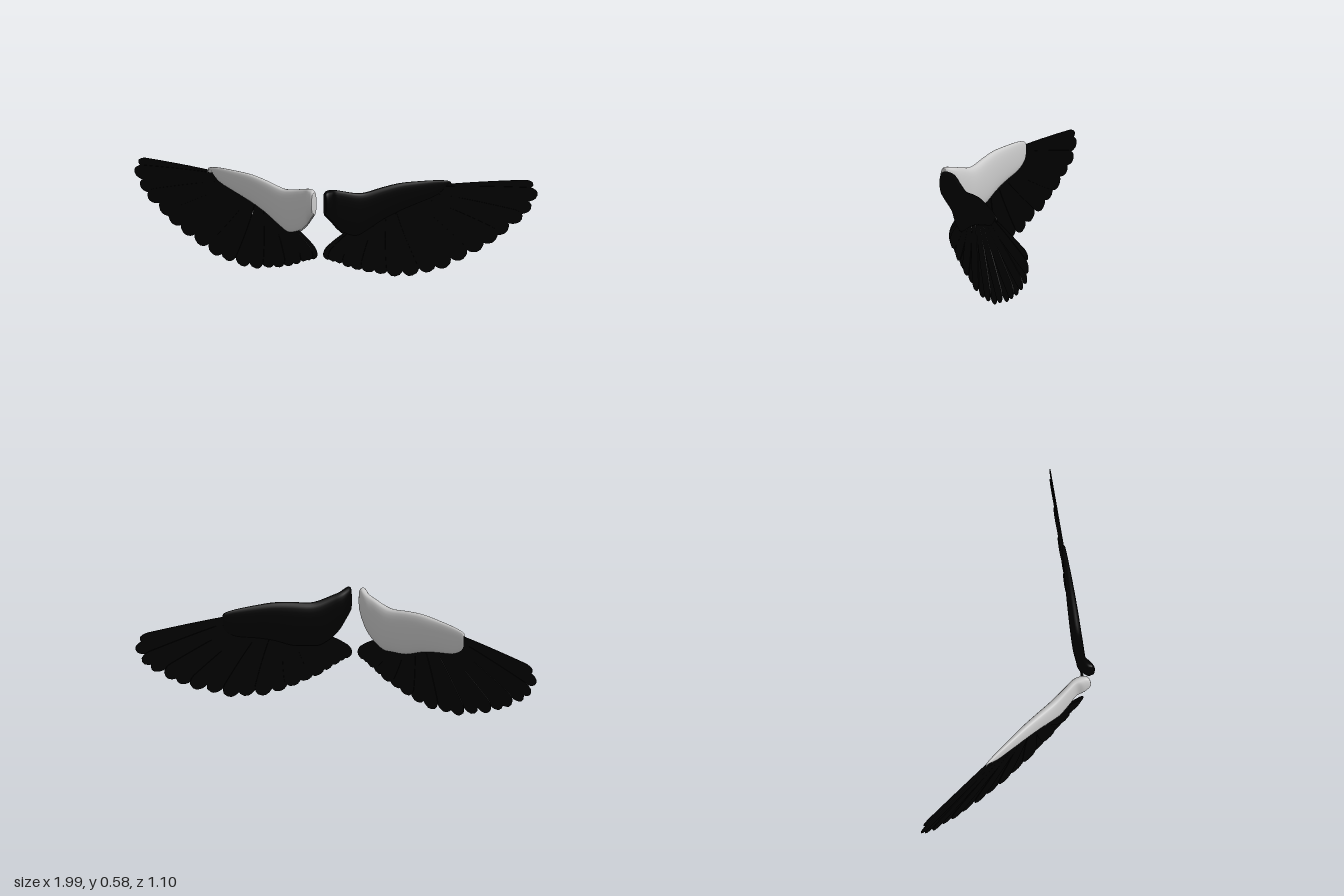
import * as THREE from 'three';

const grey = new THREE.MeshStandardMaterial({ color: 0xcccccc });
const black = new THREE.MeshStandardMaterial({ color: 0x000000 });

// Arm cross-sections: x, top, bottom, front feather line, mid z, back z, front z
const SECTIONS = [
  [-0.5, 0.52, 0.465, 0.5, 0, -0.006, 0.002],
  [-0.485, 0.537, 0.425, 0.525, 0, -0.011, 0.006],
  [-0.42, 0.55, 0.385, 0.468, 0, -0.017, 0.011],
  [-0.3, 0.558, 0.358, 0.43, 0, -0.024, 0.016],
  [-0.2, 0.56, 0.328, 0.4, 0, -0.03, 0.019],
  [-0.1, 0.548, 0.285, 0.36, 0, -0.034, 0.021],
  [0, 0.53, 0.27, 0.305, 0, -0.037, 0.022],
  [0.06, 0.535, 0.265, 0.283, 0, -0.037, 0.022],
  [0.13, 0.555, 0.3, 0.312, 0, -0.033, 0.02],
  [0.175, 0.568, 0.345, 0.357, 0, -0.032, 0.022],
  [0.205, 0.575, 0.385, 0.397, 0.008, -0.024, 0.046],
  [0.235, 0.579, 0.42, 0.432, 0.026, -0.006, 0.058],
  [0.25, 0.572, 0.437, 0.449, 0.032, 0.01, 0.056],
];

// Feather tips, from the outermost flight feather to the innermost
const TIPS = [
  [-0.978, 0.448], [-1, 0.385], [-0.965, 0.31], [-0.91, 0.255], [-0.83, 0.2],
  [-0.76, 0.155], [-0.675, 0.107], [-0.573, 0.066], [-0.474, 0.024], [-0.378, 0.012],
  [-0.275, 0], [-0.175, 0.01], [-0.09, 0.033], [-0.01, 0.055], [0.06, 0.08],
  [0.12, 0.108], [0.17, 0.138], [0.21, 0.158], [0.24, 0.172],
];
const ROOTS = new THREE.CatmullRomCurve3([
  [-0.41, 0.503], [-0.3, 0.452], [-0.2, 0.42], [-0.08, 0.365], [0.07, 0.31],
].map(([x, y]) => new THREE.Vector3(x, y, 0)));

// Flip a geometry across x = 0 and restore its winding
function mirror(g) {
  const p = g.attributes.position;
  if (!g.index) g.setIndex([...Array(p.count).keys()]);
  const idx = g.index.array;
  for (let i = 0; i < idx.length; i += 3) [idx[i], idx[i + 1]] = [idx[i + 1], idx[i]];
  for (let i = 0; i < p.count; i++) p.setX(i, -p.getX(i));
  g.computeVertexNormals();
  return g;
}

// Muscular arm lofted through the sections, with a smooth spline between them
function armGeometry() {
  const N = 14, LOW = 3, STEPS = 48;
  const pos = [], idx = [];
  const at = (t, k) => {
    const s = t * (SECTIONS.length - 1), i = Math.min(Math.floor(s), SECTIONS.length - 2), f = s - i;
    const v = (j) => SECTIONS[Math.max(0, Math.min(SECTIONS.length - 1, j))][k];
    const a = v(i - 1), b = v(i), c = v(i + 1), d = v(i + 2);
    return b + 0.5 * f * (c - a + f * (2 * a - 5 * b + 4 * c - d + f * (3 * (b - c) + d - a)));
  };
  const round = (a) => Math.pow(Math.max(0, Math.sin(a)), 0.65);
  const ring = 2 * N + LOW;
  for (let s = 0; s <= STEPS; s++) {
    const [x, top, low, line, mid, back, front] = [0, 1, 2, 3, 4, 5, 6].map((k) => at(s / STEPS, k));
    for (let i = 0; i < N; i++) {
      const a = (i / N) * Math.PI;
      pos.push(x, low + (top - low) * (1 - Math.cos(a)) / 2, mid + (back - mid) * round(a));
    }
    for (let i = 0; i < N; i++) {
      const a = (i / N) * Math.PI;
      pos.push(x, line + (top - line) * (1 + Math.cos(a)) / 2, mid + (front - mid) * round(a));
    }
    for (let i = 0; i < LOW; i++) pos.push(x, line + (low - line) * i / LOW, mid - 0.001);
  }
  for (let s = 0; s < STEPS; s++) {
    for (let i = 0; i < ring; i++) {
      const a = s * ring + i, b = s * ring + (i + 1) % ring;
      idx.push(a, b, b + ring, a, b + ring, a + ring);
    }
  }
  // End caps
  for (const [s, flip] of [[0, true], [STEPS, false]]) {
    const c = pos.length / 3;
    pos.push(at(s / STEPS, 0), (at(s / STEPS, 1) + at(s / STEPS, 2)) / 2, at(s / STEPS, 4));
    for (let i = 0; i < ring; i++) {
      const a = s * ring + i, b = s * ring + (i + 1) % ring;
      if (flip) idx.push(c, b, a); else idx.push(c, a, b);
    }
  }
  const g = new THREE.BufferGeometry();
  g.setAttribute('position', new THREE.Float32BufferAttribute(pos, 3));
  g.setIndex(idx);
  g.computeVertexNormals();
  return g;
}

// Flat blunt-tipped feather running from root to tip
function featherGeometry(root, tip, w, z) {
  const dx = tip[0] - root.x, dy = tip[1] - root.y, L = Math.hypot(dx, dy);
  const s = new THREE.Shape();
  s.moveTo(-0.1 * w, -0.01);
  s.lineTo(0.6 * w, 0.02);
  s.quadraticCurveTo(w, 0.35 * L, w, L - 0.06);
  s.quadraticCurveTo(w, L - 0.025, 0.45 * w, L - 0.004);
  s.lineTo(-0.1 * w, L);
  s.lineTo(-0.5 * w, L - 0.007);
  s.quadraticCurveTo(-w, L - 0.03, -w, L - 0.06);
  s.quadraticCurveTo(-w, 0.35 * L, -0.6 * w, 0.02);
  const g = new THREE.ExtrudeGeometry(s, { depth: 0.004, bevelEnabled: false, curveSegments: 6 });
  g.rotateZ(Math.atan2(-dx, dy));
  g.translate(root.x, root.y, z);
  return g;
}

function wing(name, armMaterial, mirrored) {
  const group = new THREE.Group();
  group.name = name;
  const add = (part, geometry, material) => {
    const mesh = new THREE.Mesh(mirrored ? mirror(geometry) : geometry, material);
    mesh.name = part;
    group.add(mesh);
  };
  add('wingArm', armGeometry(), armMaterial);
  const last = TIPS.length - 1;
  TIPS.forEach((tip, i) => {
    const w = i === 0 ? 0.03 : i < 4 || i > 14 ? 0.042 : 0.051;
    const z = -0.007 + (i % 2) * 0.004 + i * 0.0002;
    add('feather' + (i + 1), featherGeometry(ROOTS.getPoint(i / last), tip, w, z), black);
  });
  return group;
}

export function createModel() {
  const model = new THREE.Group();
  model.name = 'wings';

  const right = wing('rightWing', grey, false);
  right.position.set(0, 0, 0.487);

  // The left wing is swept backwards
  const left = wing('leftWing', black, true);
  left.position.set(0.417, 0, 0.266);
  left.rotation.y = 0.955;

  model.add(right, left);
  return model;
}
